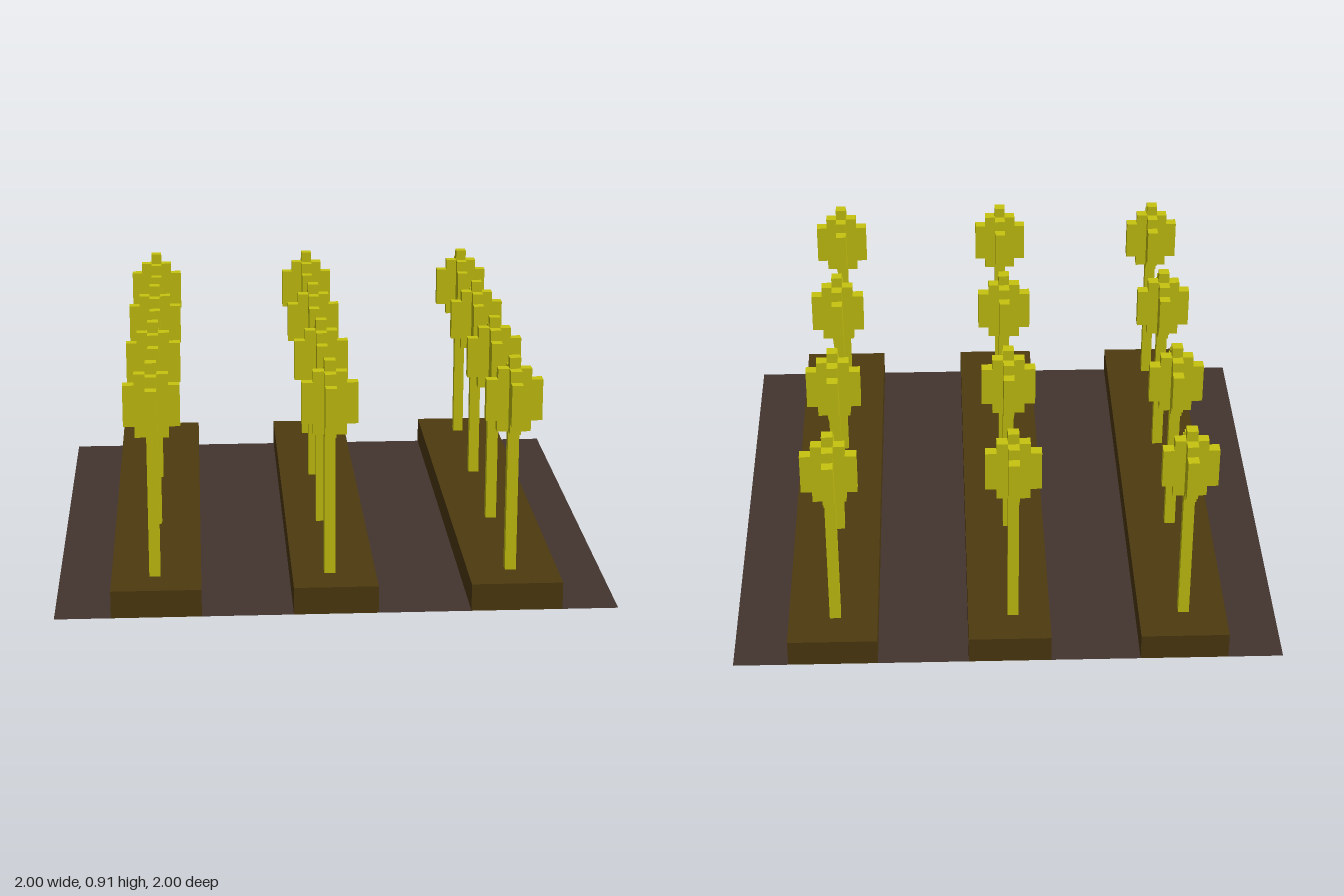
import * as THREE from 'three';

const mat = (name, color, extra = {}) => {
  const m = new THREE.MeshStandardMaterial({ color, ...extra });
  m.name = name;
  return m;
};

export function createModel() {
  const model = new THREE.Group();
  model.name = 'cropField';

  const soil = mat('soil', 0x43342e, { side: THREE.DoubleSide });
  const earth = mat('ridgeEarth', 0x4e3a10, { side: THREE.DoubleSide });
  const yellow = mat('cropYellow', 0xc8c410);
  const pale = mat('paleGrey', 0xb8b8b8);
  const black = mat('black', 0x080808);
  const grey = mat('grey', 0x6c6c6c);
  const red = mat('red', 0xb41c2a);
  const sand = mat('sand', 0xa2967c);
  const navy = mat('navy', 0x383c5a);
  const olive = mat('olive', 0x68662a);

  const add = (parent, name, geometry, material, x = 0, y = 0, z = 0) => {
    const mesh = new THREE.Mesh(geometry, material);
    mesh.name = name;
    mesh.position.set(x, y, z);
    parent.add(mesh);
    return mesh;
  };

  // Raised ridges, hollow and open underneath
  const ridges = [[-0.8, -0.48], [-0.155, 0.145], [0.475, 0.8]];
  for (const [x0, x1] of ridges) {
    const geo = new THREE.BoxGeometry(x1 - x0, 0.1, 2);
    const index = Array.from(geo.index.array);
    geo.setIndex(index.filter((_, i) => i < 18 || i >= 24));
    geo.clearGroups();
    add(model, 'ridge', geo, earth, (x0 + x1) / 2, 0.07, 0);
  }

  // Flat soil strips between the ridges
  const edges = [-1, ...ridges.flat(), 1];
  for (let i = 0; i < edges.length; i += 2) {
    const w = edges[i + 1] - edges[i];
    add(model, 'soilStrip', new THREE.PlaneGeometry(w, 2).rotateX(-Math.PI / 2),
      soil, edges[i] + w / 2, 0.02, 0);
  }

  // Concentric square bands on the underside, facing down
  const square = (target, r) => {
    const c = r * 0.04;
    target.moveTo(-r + c, -r);
    target.lineTo(r - c, -r);
    target.lineTo(r, -r + c);
    target.lineTo(r, r - c);
    target.lineTo(r - c, r);
    target.lineTo(-r + c, r);
    target.lineTo(-r, r - c);
    target.lineTo(-r, -r + c);
    target.closePath();
    return target;
  };
  const bands = [[0.95, pale], [0.85, black], [0.75, grey], [0.65, red], [0.55, sand],
    [0.45, grey], [0.35, navy], [0.25, soil], [0.19, olive], [0.09, red]];
  bands.forEach(([r, material], i) => {
    const shape = square(new THREE.Shape(), r);
    if (i + 1 < bands.length) shape.holes.push(square(new THREE.Path(), bands[i + 1][0]));
    add(model, 'undersideBand', new THREE.ShapeGeometry(shape).rotateX(Math.PI / 2), material);
  });

  // Stepped fin, one quarter of the cross-shaped head
  const finShape = new THREE.Shape([
    [0.02, 0.64], [0.06, 0.64], [0.06, 0.68], [0.1, 0.68],
    [0.1, 0.83], [0.06, 0.83], [0.06, 0.87], [0.02, 0.87],
  ].map(([x, y]) => new THREE.Vector2(x, y)));
  const finGeo = new THREE.ExtrudeGeometry(finShape, { depth: 0.04, bevelEnabled: false })
    .translate(0, 0, -0.02);
  const stemGeo = new THREE.BoxGeometry(0.04, 0.8, 0.04);

  // Plants in three rows of four
  for (const x of [-0.645, -0.02, 0.63]) {
    for (const z of [-0.84, -0.28, 0.28, 0.84]) {
      const plant = new THREE.Group();
      plant.name = 'plant';
      plant.position.set(x, 0, z);
      add(plant, 'stem', stemGeo, yellow, 0, 0.51, 0);
      for (let i = 0; i < 4; i++) {
        add(plant, 'headFin', finGeo, yellow).rotation.y = i * Math.PI / 2;
      }
      model.add(plant);
    }
  }

  return model;
}
